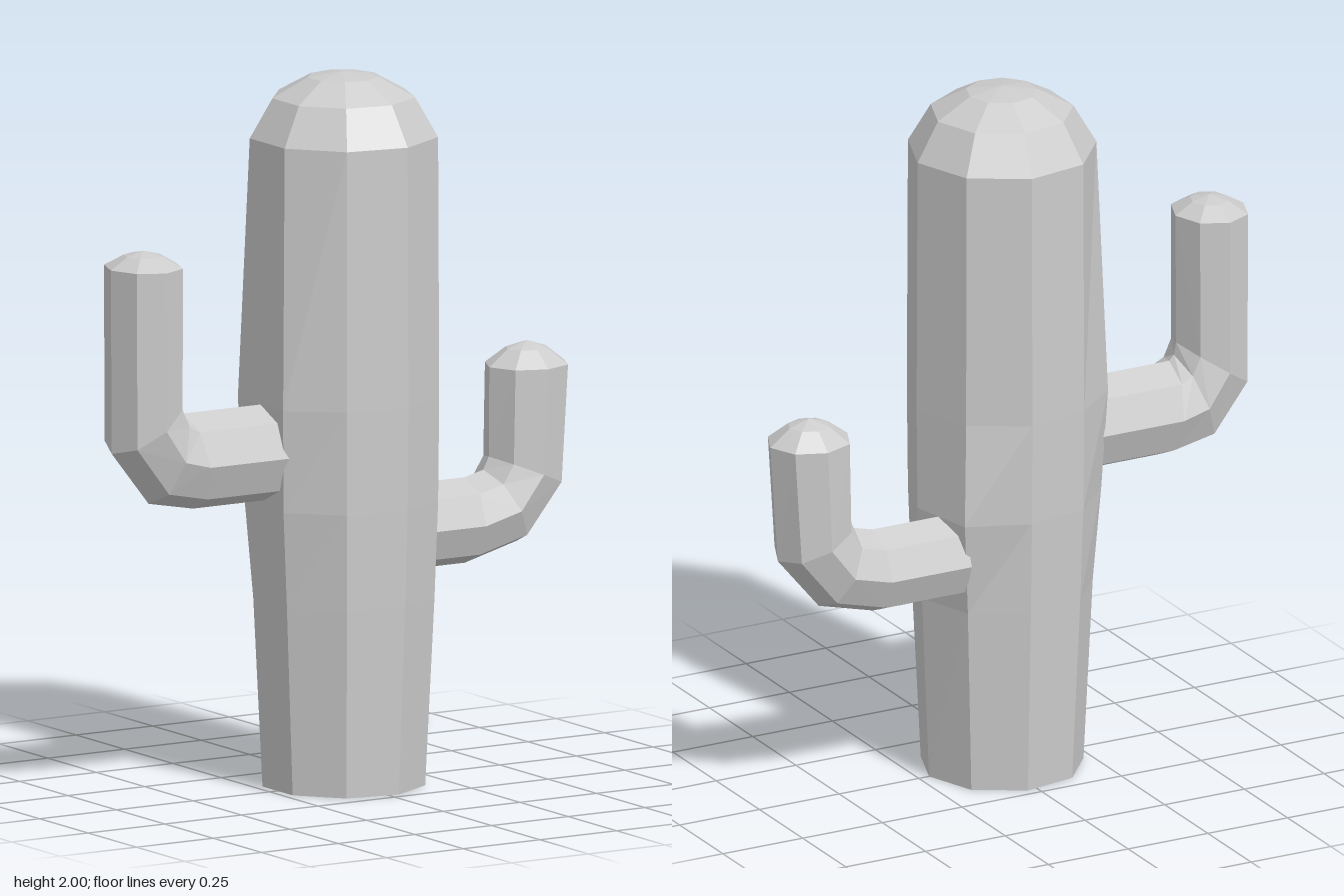
import * as THREE from 'three';

const V = (x, y, z) => new THREE.Vector3(x, y, z);

// Skin a list of equal-sized point rings; each ring turns the same way.
function loft(name, rings, flip) {
  const n = rings[0].length, index = [];
  for (let r = 0; r < rings.length - 1; r++) {
    for (let i = 0; i < n; i++) {
      const a = r * n + i, b = r * n + (i + 1) % n, c = a + n, d = b + n;
      if (flip) index.push(a, b, c, b, d, c);
      else index.push(a, c, b, b, c, d);
    }
  }
  const indexed = new THREE.BufferGeometry().setFromPoints(rings.flat());
  indexed.setIndex(index);
  const geometry = indexed.toNonIndexed();
  geometry.computeVertexNormals();
  const mesh = new THREE.Mesh(geometry, new THREE.MeshStandardMaterial({
    color: 0xcccccc, flatShading: true, side: THREE.DoubleSide,
  }));
  mesh.name = name;
  return mesh;
}

// Nine-sided trunk, open below, swelling a little where the arms join.
function makeTrunk() {
  const profile = [[0.228, 0], [0.254, 0.53], [0.264, 0.8], [0.267, 1.09],
    [0.264, 1.82], [0.2, 1.93], [0.1, 1.985], [0, 2]];
  const rings = profile.map(([r, y]) => Array.from({ length: 9 }, (_, k) => {
    const a = k * Math.PI * 2 / 9;
    return V(-0.01 + r * Math.cos(a), y, r * Math.sin(a));
  }));
  // swelling at the right arm
  rings[2][4].set(-0.268, 0.8, 0.1);
  rings[2][5].set(-0.268, 0.8, -0.1);
  rings[3][4].set(-0.28, 1.09, 0.117);
  rings[3][5].set(-0.28, 1.09, -0.117);
  // swelling at the left arm
  rings[1][0].x = 0.24;
  rings[2][8].set(0.21, 0.8, -0.193);
  return loft('trunk', rings, false);
}

// Eight-sided bent arm. Each section is [outerX, outerY, innerX, innerY].
function makeArm(name, sections, z, halfWidth, tipRise) {
  const ring = ([ox, oy, ix, iy]) => Array.from({ length: 8 }, (_, k) => {
    const a = k * Math.PI / 4, c = Math.cos(a) / 2;
    return V((ox + ix) / 2 + (ox - ix) * c, (oy + iy) / 2 + (oy - iy) * c,
      z + halfWidth * Math.sin(a));
  });
  const rings = sections.map(ring);
  // rounded tip
  const end = rings[rings.length - 1];
  const mid = V((end[0].x + end[4].x) / 2, end[0].y, z);
  for (const [scale, rise] of [[0.5, 0.7], [0, 1]]) {
    rings.push(end.map((p) => p.clone().lerp(mid, 1 - scale).setY(mid.y + tipRise * rise)));
  }
  return loft(name, rings, sections[0][0] < 0);
}

export function createModel() {
  const model = new THREE.Group();
  model.name = 'cactus';
  model.add(makeTrunk());
  model.add(makeArm('rightArm', [
    [-0.25, 0.82, -0.25, 1.09],
    [-0.5, 0.82, -0.535, 1.09],
    [-0.645, 0.848, -0.55, 1.105],
    [-0.765, 1.0, -0.557, 1.14],
    [-0.768, 1.515, -0.555, 1.515],
  ], 0, 0.12, 0.045));
  model.add(makeArm('leftArm', [
    [0.19, 0.56, 0.19, 0.8],
    [0.44, 0.56, 0.44, 0.8],
    [0.61, 0.605, 0.5, 0.815],
    [0.738, 0.76, 0.518, 0.85],
    [0.762, 1.1, 0.52, 1.1],
  ], -0.085, 0.112, 0.065));
  return model;
}
